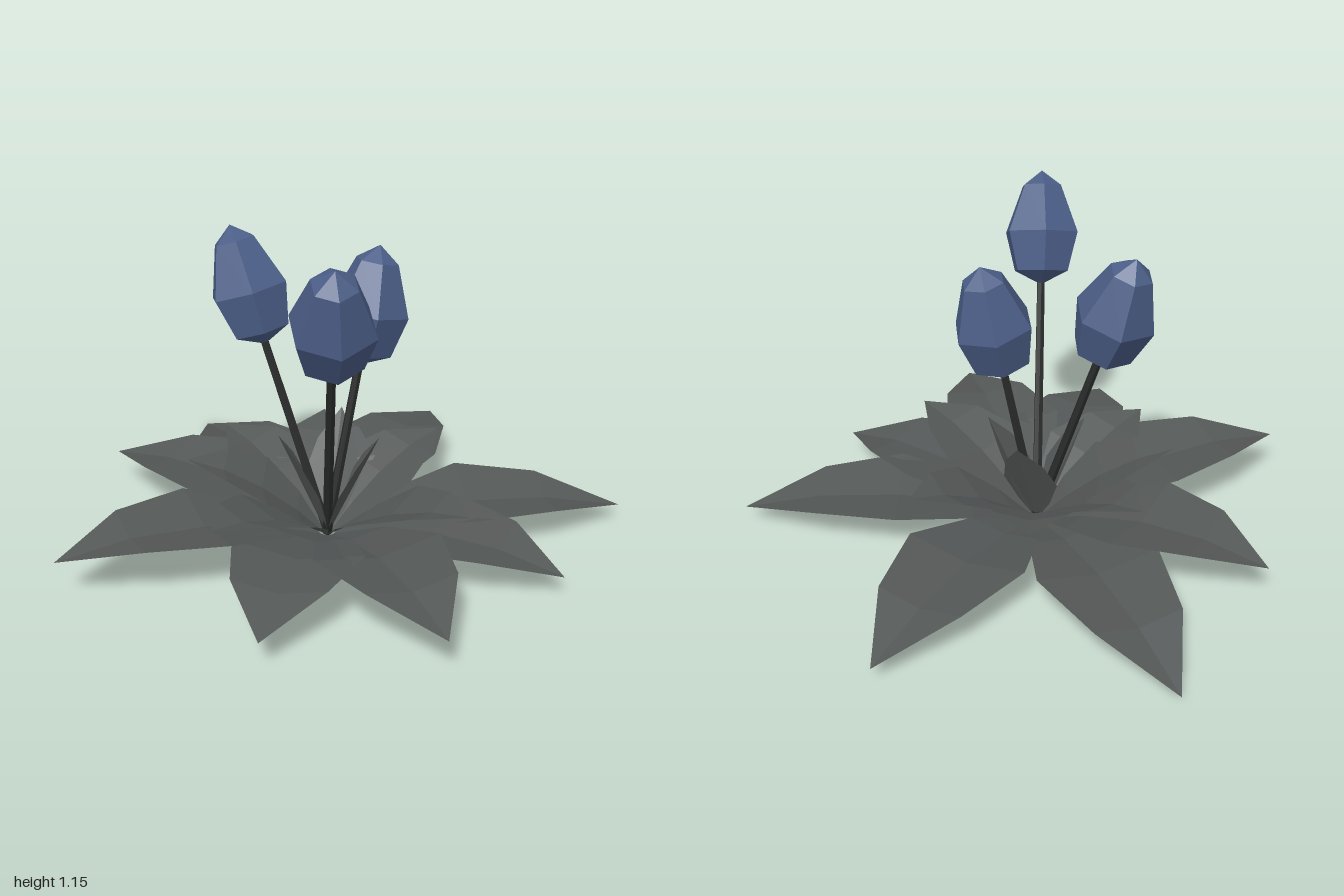
import * as THREE from 'three';

const V = (x, y, z) => new THREE.Vector3(x, y, z);

export function createModel() {
  const group = new THREE.Group();
  group.name = 'tulipPlant';
  const leafMat = new THREE.MeshStandardMaterial({ color: 0x545857, flatShading: true, side: THREE.DoubleSide });
  leafMat.name = 'leafGrey';
  const stemMat = new THREE.MeshStandardMaterial({ color: 0x2a2c2b, flatShading: true });
  stemMat.name = 'stemDark';
  const budMat = new THREE.MeshStandardMaterial({ color: 0x4b5e87, flatShading: true });
  budMat.name = 'budBlue';
  const root = V(-0.06, 0, 0.04);

  // Leaf stations: [distance along the leaf, share of half width]
  const stations = [[0.03, 0.08], [0.22, 0.6], [0.47, 1], [0.74, 0.7], [1, 0]];

  // Folded leaf: a creased midrib with both edges raised towards the plant's centre
  function addLeaf(name, tip, halfWidth, arch, fold) {
    const dir = V(...tip).sub(root);
    const side = V(-dir.z, 0, dir.x).normalize();
    const up = side.clone().cross(dir).normalize();
    if (up.y < 0) up.negate();
    const pos = [], index = [];
    stations.forEach(([t, w], i) => {
      const mid = root.clone().addScaledVector(dir, t);
      mid.y += arch * 4 * t * (1 - t);
      for (const s of [-1, 0, 1]) {
        const p = mid.clone().addScaledVector(side, s * w * halfWidth);
        p.addScaledVector(up, Math.abs(s) * w * fold);
        pos.push(p.x, p.y, p.z);
      }
      if (i === 0) return;
      for (const c of [0, 1]) {
        const a = (i - 1) * 3 + c, b = a + 3;
        index.push(a, a + 1, b + 1);
        index.push(a, b + 1, b);
      }
    });
    const geo = new THREE.BufferGeometry();
    geo.setAttribute('position', new THREE.Float32BufferAttribute(pos, 3));
    geo.setIndex(index);
    geo.computeVertexNormals();
    const mesh = new THREE.Mesh(geo, leafMat);
    mesh.name = name;
    group.add(mesh);
  }

  // Long spreading leaves
  [
    [-0.39, 0.01, -0.97], [0.54, 0.06, -0.81], [1.0, 0.06, 0.13], [0.62, 0.08, 0.6],
    [0.13, 0.14, 0.96], [-0.41, 0.11, 0.82], [-1.0, 0.15, 0.31], [-0.77, 0.13, -0.52],
  ].forEach((tip, i) => addLeaf('outerLeaf' + (i + 1), tip, 0.225, 0.08, 0.04));

  // Shorter middle leaves
  [
    [0.4, 0.27, -0.2], [0.02, 0.27, -0.45], [-0.37, 0.28, -0.37],
    [-0.54, 0.31, -0.03], [-0.5, 0.25, 0.38], [0.33, 0.27, 0.49],
  ].forEach((tip, i) => addLeaf('middleLeaf' + (i + 1), tip, 0.18, 0.05, 0.035));

  // Small upright leaves around the stems
  [
    [0.11, 0.4, 0.11], [0.03, 0.41, -0.15], [-0.23, 0.41, 0.05],
  ].forEach((tip, i) => addLeaf('innerLeaf' + (i + 1), tip, 0.1, 0, 0.03));

  // Places a y-aligned mesh between two points
  function span(mesh, a, b, centred) {
    mesh.position.copy(a);
    if (centred) mesh.position.add(b).multiplyScalar(0.5);
    mesh.quaternion.setFromUnitVectors(V(0, 1, 0), b.clone().sub(a).normalize());
    group.add(mesh);
  }

  // Bud profile: [radius, share of length]
  const profile = [[0, 0], [0.105, 0.12], [0.142, 0.46], [0.075, 0.87], [0, 1]];

  // Stems with six-sided buds
  [
    [[-0.25, 0.7, -0.08], [-0.35, 1.1, -0.17]],
    [[-0.11, 0.78, 0.4], [-0.13, 1.155, 0.57]],
    [[0.06, 0.63, 0], [0.14, 1.04, -0.04]],
  ].forEach(([base, top], i) => {
    const a = V(...base), b = V(...top);
    const start = root.clone().setY(0.02);
    const stemGeo = new THREE.CylinderGeometry(0.015, 0.018, start.distanceTo(a) + 0.02, 6);
    const stem = new THREE.Mesh(stemGeo, stemMat);
    stem.name = 'stem' + (i + 1);
    span(stem, start, a, true);

    const len = a.distanceTo(b);
    const budGeo = new THREE.LatheGeometry(profile.map(([r, t]) => new THREE.Vector2(r, t * len)), 6);
    const bud = new THREE.Mesh(budGeo, budMat);
    bud.name = 'bud' + (i + 1);
    span(bud, a, b, false);
  });

  return group;
}
